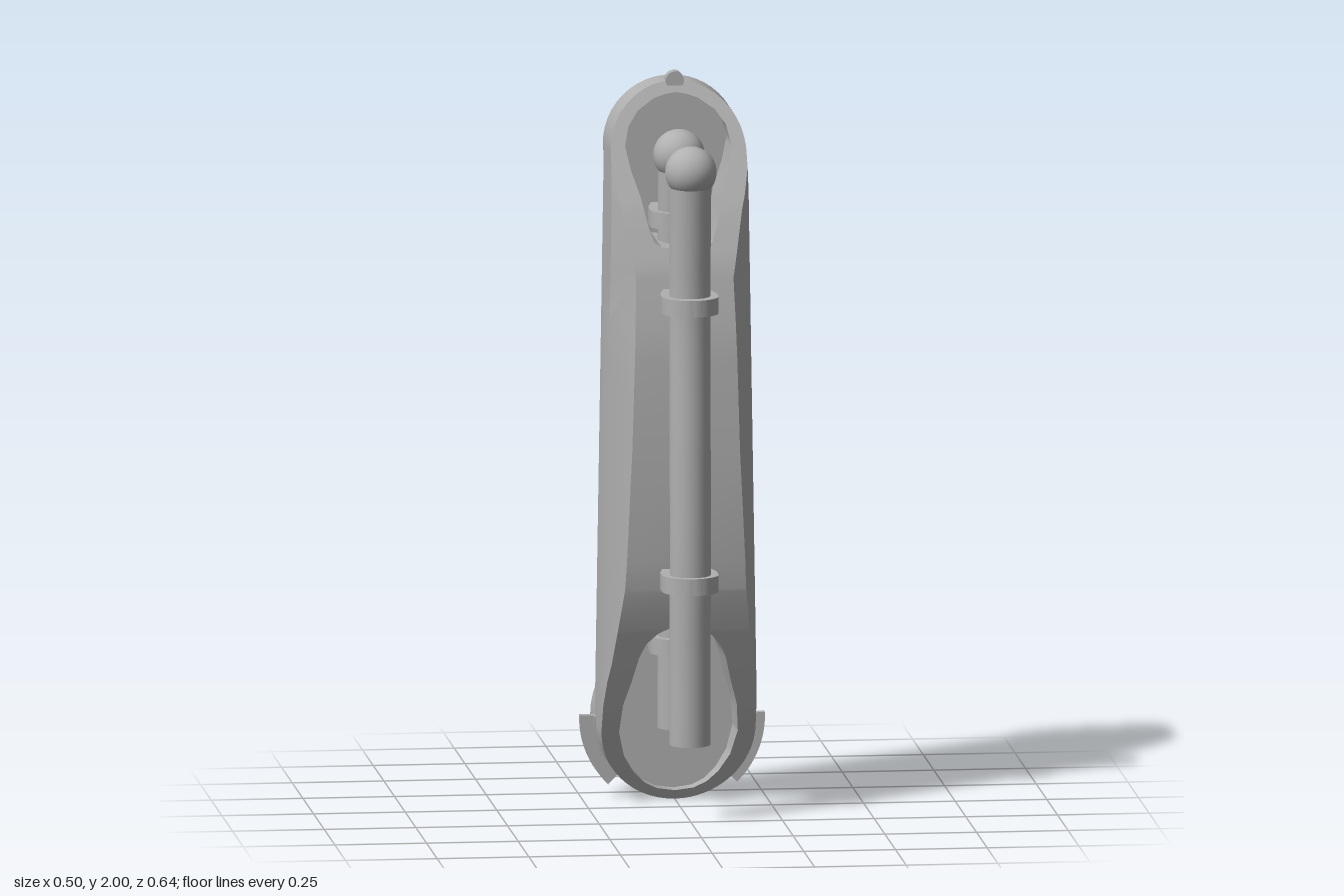
import * as THREE from 'three';
import { toCreasedNormals } from 'three/addons/utils/BufferGeometryUtils.js';

const grey = new THREE.MeshStandardMaterial({ color: 0xb0b0b0 });
grey.name = 'grey';

// Piecewise linear lookup in a list of [y, value]
function lookup(table, y) {
  if (y <= table[0][0]) return table[0][1];
  for (let i = 1; i < table.length; i++) {
    const [a, va] = table[i - 1], [b, vb] = table[i];
    if (y <= b) return va + (vb - va) * (y - a) / (b - a);
  }
  return table[table.length - 1][1];
}

// Depth of the front face by height
const FRONT = [[0, -0.13], [0.25, -0.02], [0.38, 0.035], [0.5, 0.085], [0.61, 0.125], [0.7, 0.14], [1.25, 0.14],
  [1.35, 0.13], [1.5, 0.1], [1.65, 0.04], [1.8, -0.04], [1.975, -0.13]];
// Half width of the front face between the bevels
const EDGE = [[0.25, 0.22], [0.4, 0.192], [0.62, 0.165], [1, 0.147], [1.47, 0.133], [1.65, 0.165], [1.78, 0.2]];
// Half widths of the lower and upper recess
const RECESS = [[0.025, 0], [0.032, 0.05], [0.05, 0.085], [0.08, 0.115], [0.13, 0.145], [0.2, 0.162], [0.28, 0.155],
  [0.35, 0.135], [0.42, 0.118], [0.46, 0.1], [0.49, 0.07], [0.505, 0.04], [0.51, 0],
  [1.545, 0], [1.552, 0.06], [1.565, 0.08], [1.6, 0.092], [1.68, 0.11], [1.75, 0.133], [1.81, 0.145],
  [1.86, 0.133], [1.9, 0.105], [1.93, 0.06], [1.94, 0.03], [1.945, 0]];
const LOW_R = 0.21, TOP_R = 0.185, TOP_Y = 1.79, BACK = -0.2, FLOOR = -0.165;

function halfWidth(y) {
  if (y < LOW_R) return Math.sqrt(Math.max(0, LOW_R ** 2 - (y - LOW_R) ** 2));
  if (y > TOP_Y) return Math.sqrt(Math.max(0, TOP_R ** 2 - (y - TOP_Y) ** 2));
  return LOW_R + (TOP_R - LOW_R) * (y - LOW_R) / (TOP_Y - LOW_R);
}

// Bevelled casing, lofted upwards through closed sections that dip into the recesses
function casingGeometry() {
  const ys = [...FRONT, ...EDGE, ...RECESS].map((p) => p[0]);
  for (let i = 0; i <= 16; i++) {
    const c = 1 - Math.cos(i / 16 * Math.PI / 2);
    ys.push(LOW_R * c, TOP_Y + TOP_R * (1 - c));
  }
  ys.sort((a, b) => a - b);
  const rows = ys.filter((y, i) => i === 0 || y - ys[i - 1] > 1e-4).map((y) => {
    const w = halfWidth(y), f = lookup(FRONT, y);
    const e = Math.min(w, lookup(EDGE, y)), o = Math.min(e, lookup(RECESS, y));
    const bevel = Math.min(f, 0), floor = Math.min(f, FLOOR);
    const half = [[w, BACK], [w, bevel], [e, f], [o, f], [o, floor]];
    const ring = [...half.map(([x, z]) => [-x, y, z]), ...half.reverse().map(([x, z]) => [x, y, z])];
    return { ring, o };
  });
  const pos = [];
  for (let r = 0; r < rows.length - 1; r++) {
    const A = rows[r], B = rows[r + 1];
    for (let k = 0; k < 10; k++) {
      if (A.o === 0 && B.o === 0 && k >= 3 && k <= 5) continue;
      const n = (k + 1) % 10;
      const a = A.ring[k], b = A.ring[n], c = B.ring[n], d = B.ring[k];
      for (const t of [[a, b, c], [a, c, d]]) {
        const [p, q, s] = t.map((v) => new THREE.Vector3(...v));
        if (q.sub(p).cross(s.sub(p)).length() > 1e-9) pos.push(...t.flat());
      }
    }
  }
  const g = new THREE.BufferGeometry();
  g.setAttribute('position', new THREE.Float32BufferAttribute(pos, 3));
  return toCreasedNormals(g, 0.45);
}

export function createModel() {
  const model = new THREE.Group();
  model.name = 'mechanicalArmSegment';

  function add(name, geometry, x = 0, y = 0, z = 0, parent = model) {
    const m = new THREE.Mesh(geometry, grey);
    m.name = name;
    m.position.set(x, y, z);
    parent.add(m);
    return m;
  }
  // Disc facing the back, from depth z0 to z1
  function disc(name, r, y, z0, z1, sides = 48) {
    add(name, new THREE.CylinderGeometry(r, r, Math.abs(z1 - z0), sides).rotateX(Math.PI / 2), 0, y, (z0 + z1) / 2);
  }
  const extrude = (shape, depth) => new THREE.ExtrudeGeometry(shape, { depth, bevelEnabled: false, curveSegments: 20 });

  add('casing', casingGeometry());

  // Joint discs on the back and the small knob on top
  disc('lowerJoint', LOW_R, LOW_R, BACK + 0.01, -0.305);
  disc('upperJoint', TOP_R, TOP_Y, BACK + 0.01, -0.225);
  disc('upperJointCap', 0.115, TOP_Y, -0.22, -0.25);
  disc('topKnob', 0.025, 1.975, -0.155, -0.123, 20);

  // Tilted block on the back
  add('backBlock', new THREE.BoxGeometry(0.107, 0.086, 0.13), 0.045, 1.49, -0.257).rotation.z = 0.36;

  // Latch above the lower joint
  const lower = new THREE.Shape([[-0.02, 0.38], [0.045, 0.38], [0.065, 0.5], [-0.035, 0.5]].map((p) => new THREE.Vector2(...p)));
  const upper = new THREE.Shape([[-0.035, 0.5], [0.065, 0.5], [0.035, 0.61], [-0.02, 0.61]].map((p) => new THREE.Vector2(...p)));
  add('latchBase', extrude(lower, 0.105), 0, 0, -0.303);
  add('latchTip', extrude(upper, 0.095), 0, 0, -0.288);

  // Curved guards either side of the lower joint
  for (const side of [1, -1]) {
    const arc = (r0, r1) => {
      const s = new THREE.Shape();
      const from = side > 0 ? 0.04 : Math.PI - 0.04, to = side > 0 ? -0.8 : Math.PI + 0.8;
      s.absarc(0, 0, r1, from, to, side > 0);
      s.absarc(0, 0, r0, to, from, side < 0);
      return s;
    };
    const guard = new THREE.Group();
    guard.name = side > 0 ? 'leftGuard' : 'rightGuard';
    guard.position.y = 0.215;
    add('guardPlate', extrude(arc(0.19, 0.252), 0.026), 0, 0, -0.205, guard);
    add('guardLip', extrude(arc(0.2, 0.216), 0.02), 0, 0, -0.187, guard);
    model.add(guard);
  }

  // Bent rods with ball ends
  const path = new THREE.CatmullRomCurve3([[0.21, 0.225], [0.45, 0.23], [0.7, 0.238], [1, 0.235], [1.4, 0.225],
    [1.6, 0.236], [1.79, 0.252]].map(([y, z]) => new THREE.Vector3(0, y, z)));
  const rodShape = new THREE.TubeGeometry(path, 40, 0.056, 28);
  const ballShape = new THREE.SphereGeometry(0.07, 32, 20);
  const endShape = new THREE.CircleGeometry(0.056, 28).rotateX(Math.PI / 2);

  // Clip: rounded in front, tapering towards the casing
  const clipOutline = new THREE.Shape();
  clipOutline.moveTo(-0.06, 0.115);
  clipOutline.lineTo(0.06, 0.115);
  clipOutline.lineTo(0.077, 0.19);
  clipOutline.lineTo(0.077, 0.235);
  clipOutline.absarc(0, 0.235, 0.077, 0, Math.PI, false);
  clipOutline.lineTo(-0.077, 0.19);
  const clipShape = toCreasedNormals(extrude(clipOutline, 0.046).rotateX(Math.PI / 2), 0.4);

  for (const [name, z, clips] of [['frontRod', 0, [1.443, 0.678]], ['innerRod', -0.28, [1.635, 0.463]]]) {
    const rod = new THREE.Group();
    rod.name = name;
    rod.position.z = z;
    add('shaft', rodShape, 0, 0, 0, rod);
    add('shaftEnd', endShape, 0, 0.21, 0.225, rod);
    add('ball', ballShape, 0, 1.787, 0.25, rod);
    for (const y of clips) add('clip', clipShape, 0, y, 0, rod);
    model.add(rod);
  }
  return model;
}
